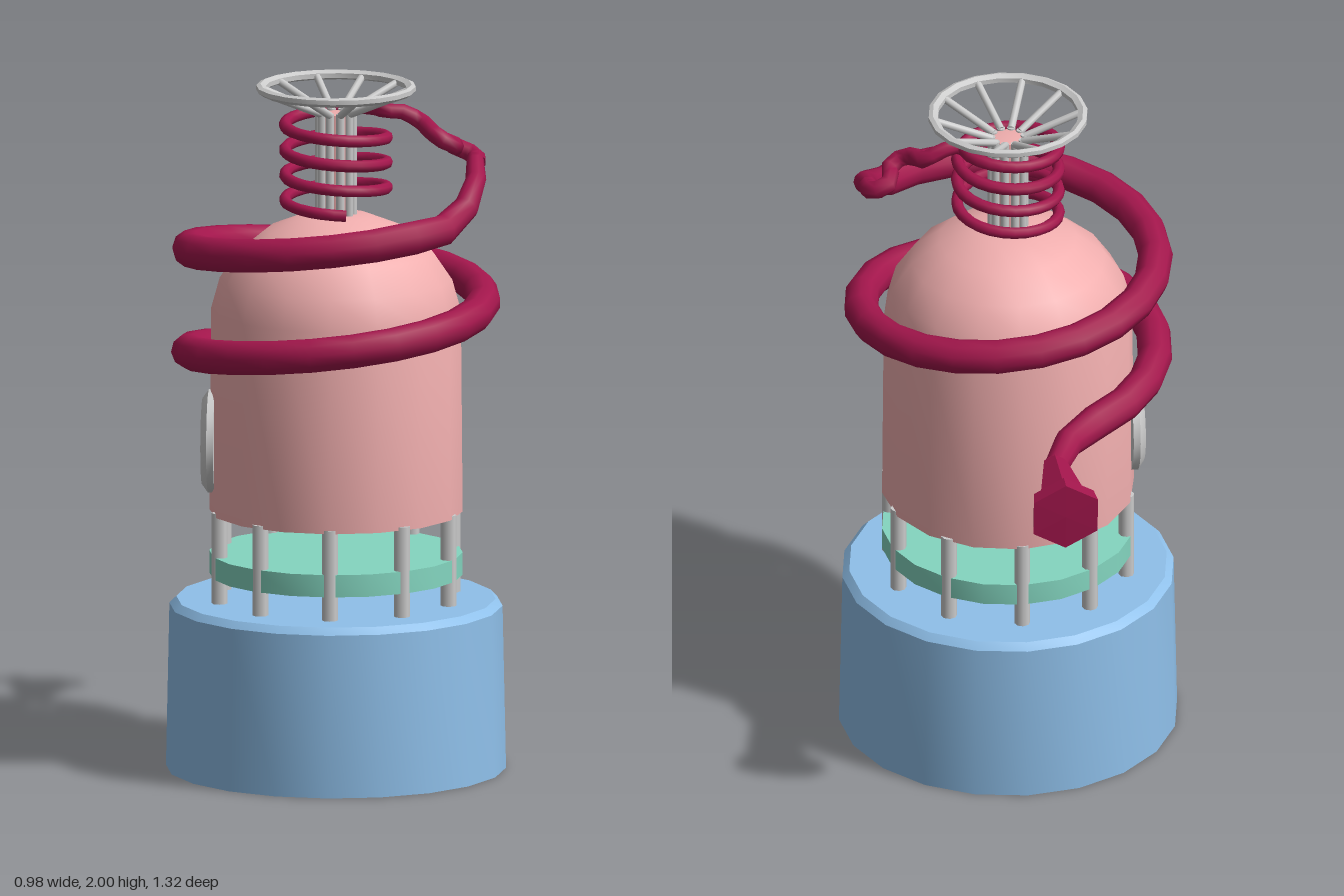
import * as THREE from 'three';
import { toCreasedNormals } from 'three/addons/utils/BufferGeometryUtils.js';

const V = (x, y, z) => new THREE.Vector3(x, y, z);
const mat = (color) => new THREE.MeshStandardMaterial({ color, side: THREE.DoubleSide });
const blue = mat(0x8fc0ea), pink = mat(0xf0aeae), teal = mat(0x84d6c0);
const crimson = mat(0xa3164c), grey = mat(0xcccccc);

function add(parent, name, geometry, material) {
  const mesh = new THREE.Mesh(geometry, material);
  mesh.name = name;
  parent.add(mesh);
  return mesh;
}

// Turned shape from [radius, height] pairs, bottom to top
function turned(profile, sides) {
  const pts = profile.map(([r, y]) => new THREE.Vector2(r, y));
  return toCreasedNormals(new THREE.LatheGeometry(pts, sides), 0.6);
}

// Piecewise linear lookup in [u, value] pairs
function lerpTable(table, u) {
  for (let i = 1; i < table.length; i++) {
    const [u0, a] = table[i - 1], [u1, b] = table[i];
    if (u <= u1) return a + (b - a) * (u - u0) / (u1 - u0);
  }
  return table[table.length - 1][1];
}

// Tube whose radius follows a table along its length
function taperedTube(points, segments, sides, radii) {
  const curve = new THREE.CatmullRomCurve3(points);
  const geo = new THREE.TubeGeometry(curve, segments, 1, sides);
  const pos = geo.attributes.position, p = V(0, 0, 0);
  for (let i = 0; i <= segments; i++) {
    const c = curve.getPointAt(i / segments), r = lerpTable(radii, i / segments);
    for (let j = 0; j <= sides; j++) {
      const k = i * (sides + 1) + j;
      p.fromBufferAttribute(pos, k).sub(c).multiplyScalar(r).add(c);
      pos.setXYZ(k, p.x, p.y, p.z);
    }
  }
  return geo;
}

// Straight rod between two points
function rod(parent, name, a, b, r, material) {
  const d = b.clone().sub(a);
  const mesh = add(parent, name, new THREE.CylinderGeometry(r, r, d.length(), 8), material);
  mesh.position.copy(a).lerp(b, 0.5);
  mesh.quaternion.setFromUnitVectors(V(0, 1, 0), d.normalize());
}

export function createModel() {
  const model = new THREE.Group();
  // Everything is placed about the tank's axis
  const body = new THREE.Group();
  body.name = 'body';
  body.position.z = 0.17;
  model.add(body);

  // Base, support ring and tank
  add(body, 'base', turned([[0, 0], [0.49, 0], [0.48, 0.475], [0.46, 0.495], [0, 0.495]], 20), blue);
  add(body, 'supportRing', turned([[0, 0.565], [0.365, 0.565], [0.365, 0.63], [0, 0.63]], 20), teal);
  add(body, 'tank', turned([[0, 0.75], [0.365, 0.75], [0.36, 1.34], [0.335, 1.43], [0.28, 1.51],
    [0.2, 1.575], [0.1, 1.615], [0.045, 1.62], [0.045, 1.915], [0, 1.92]], 16), pink);

  // Posts under the tank
  const posts = new THREE.Group();
  posts.name = 'posts';
  body.add(posts);
  for (let i = 0; i < 10; i++) {
    const a = i * Math.PI / 5, x = 0.347 * Math.sin(a), z = 0.347 * Math.cos(a);
    rod(posts, 'post', V(x, 0.49, z), V(x, 0.76, z), 0.023, grey);
  }

  // Handwheel: rods climb the neck, then spread to the rim
  const wheel = new THREE.Group();
  wheel.name = 'handwheel';
  body.add(wheel);
  for (let i = 0; i < 10; i++) {
    const a = i * Math.PI / 5, c = Math.cos(a), s = Math.sin(a);
    rod(wheel, 'neckRod', V(0.048 * c, 1.6, 0.048 * s), V(0.048 * c, 1.92, 0.048 * s), 0.012, grey);
    rod(wheel, 'spoke', V(0.048 * c, 1.915, 0.048 * s), V(0.215 * c, 1.985, 0.215 * s), 0.011, grey);
  }
  add(wheel, 'rim', turned([[0.203, 1.978], [0.215, 1.972], [0.23, 1.982], [0.23, 1.995],
    [0.218, 2], [0.203, 1.992], [0.203, 1.978]], 20), grey);

  // Round badge on the right side
  const badge = add(body, 'badge', turned([[0, 0], [0.15, 0], [0.15, 0.02], [0.125, 0.038], [0, 0.042]], 20), grey);
  badge.rotation.z = Math.PI / 2;
  badge.position.set(-0.347, 0.95, 0);

  // Thin coil around the neck, ending in a wavy link
  const coil = [];
  const turns = 3.75, steps = 60;
  for (let i = 0; i <= steps; i++) {
    const a = -0.25 - (1 - i / steps) * turns * Math.PI * 2;
    coil.push(V(0.147 * Math.cos(a), 1.64 + 0.275 * i / steps, 0.147 * Math.sin(a)));
  }
  coil.push(V(0.19, 1.912, -0.045), V(0.25, 1.88, -0.04), V(0.275, 1.865, 0.01), V(0.31, 1.845, 0.035),
    V(0.345, 1.825, 0.01), V(0.34, 1.815, -0.03), V(0.37, 1.8, -0.05), V(0.4, 1.785, -0.035), V(0.405, 1.775, 0.01));
  add(body, 'neckCoil', taperedTube(coil, 110, 8, [[0, 0.017], [0.85, 0.018], [0.92, 0.026], [1, 0.028]]), crimson);

  // Thick hose winding down round the tank
  const hose = [V(0.4, 1.785, -0.02), V(0.405, 1.755, 0.06), V(0.405, 1.715, 0.14)];
  for (let deg = 36; deg <= 600; deg += 12) {
    const a = deg * Math.PI / 180;
    hose.push(V(0.425 * Math.cos(a), 1.665 - 0.3 * deg / 360, 0.425 * Math.sin(a)));
  }
  hose.push(V(-0.13, 1.15, -0.44), V(-0.095, 1.145, -0.5), V(-0.075, 1.14, -0.56));
  add(body, 'hose', taperedTube(hose, 40, 10,
    [[0, 0.024], [0.04, 0.034], [0.09, 0.05], [0.95, 0.05], [1, 0.036]]), crimson);

  // Flared six-sided nozzle behind the tank
  const horn = turned([[0, 0], [0.036, 0], [0.075, 0.2], [0.1, 0.215], [0.107, 0.268], [0, 0.27]], 6);
  horn.computeVertexNormals();
  const nozzle = add(body, 'nozzle', horn, crimson);
  nozzle.rotation.x = -Math.PI / 2 - 0.06;
  nozzle.position.set(-0.07, 1.14, -0.555);

  return model;
}
